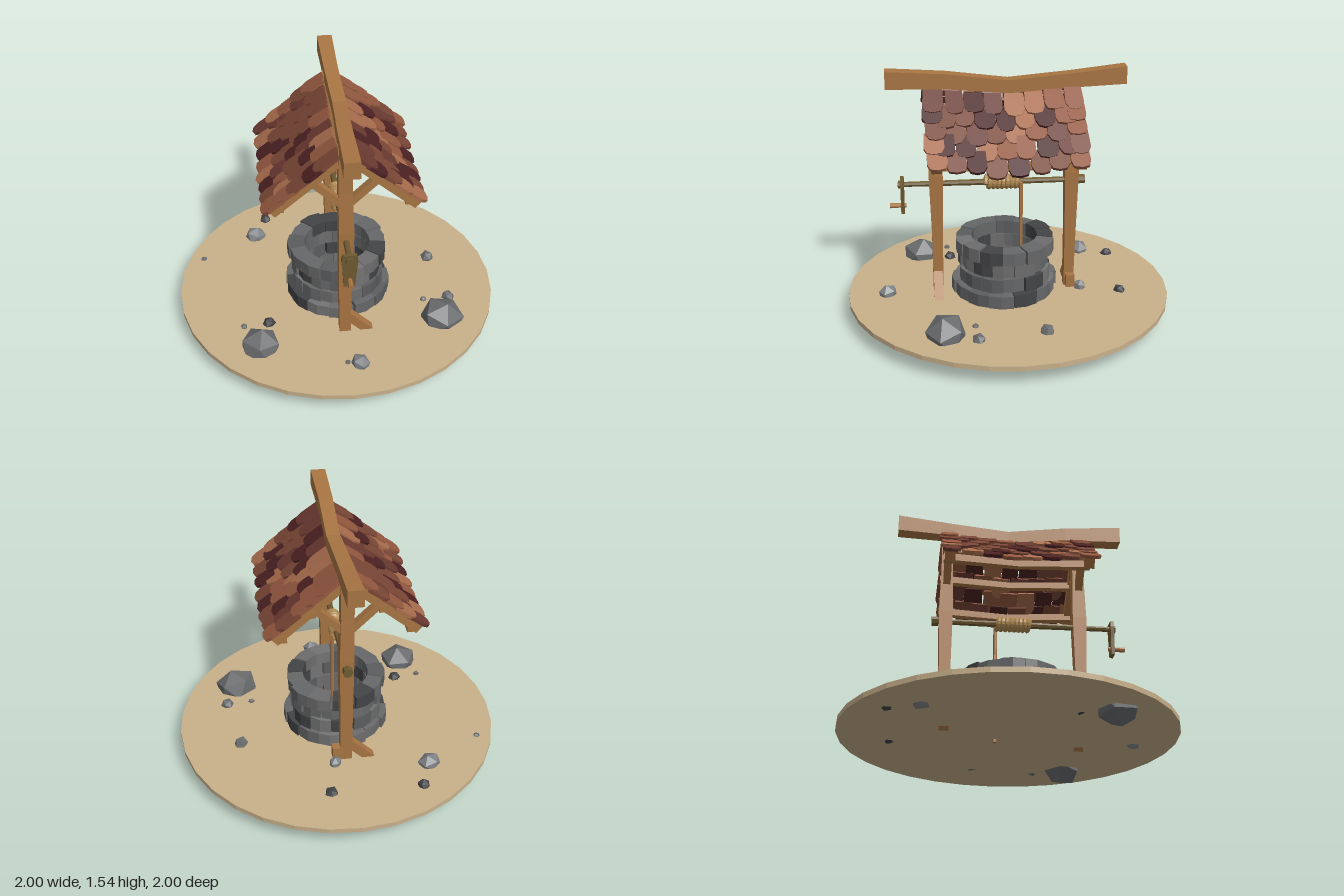
import * as THREE from 'three';

const WOOD = 0xa87543, DARK_WOOD = 0x6e5a30, ROPE = 0xb08a52, SAND = 0xc9b18b;
const TILES = [0x7a4736, 0xa96d4d, 0x7a4736, 0x4c2122, 0x6b3a31, 0x94583f];
const STONES = [0x6c6c6c, 0x5c5d5f, 0x747474, 0x666768, 0x434446];

// small seeded generator
function seeded(seed) {
  let s = seed;
  return () => (s = (s * 16807) % 2147483647) / 2147483647;
}

export function createModel() {
  const model = new THREE.Group();
  model.name = 'wishingWell';
  const rand = seeded(4217);
  const jitter = (a) => (rand() * 2 - 1) * a;
  const pick = (list) => list[Math.floor(rand() * list.length)];
  const materials = {};
  const mat = (color) => (materials[color] ??= new THREE.MeshStandardMaterial({ color, flatShading: true }));

  function add(name, geometry, color, parent = model) {
    const mesh = new THREE.Mesh(geometry, mat(color));
    mesh.name = name;
    parent.add(mesh);
    return mesh;
  }

  // move every vertex of a geometry by a rule
  function reshape(geometry, rule) {
    const p = geometry.attributes.position;
    const v = new THREE.Vector3();
    for (let i = 0; i < p.count; i++) {
      v.fromBufferAttribute(p, i);
      rule(v);
      p.setXYZ(i, v.x, v.y, v.z);
    }
    geometry.computeVertexNormals();
    return geometry;
  }

  // timber through stations [along, centreX, centreOther, widthX, depthOther]
  function timber(name, stations, axis) {
    const n = stations.length - 1;
    const g = new THREE.BoxGeometry(1, 1, 1, 1, n, 1);
    if (axis === 'z') g.rotateX(Math.PI / 2);
    const other = axis === 'z' ? 'y' : 'z';
    reshape(g, (v) => {
      const [t, cx, co, w, d] = stations[Math.round((v[axis] + 0.5) * n)];
      v.x = cx + v.x * w;
      v[other] = co + v[other] * d;
      v[axis] = t;
    });
    return add(name, g, WOOD);
  }

  // straight timber in the x-y plane at depth z
  function strut(name, x0, y0, x1, y1, z, width, depth) {
    const dx = x1 - x0, dy = y1 - y0;
    const mesh = add(name, new THREE.BoxGeometry(Math.hypot(dx, dy), width, depth), WOOD);
    mesh.position.set((x0 + x1) / 2, (y0 + y1) / 2, z);
    mesh.rotation.z = Math.atan2(dy, dx);
  }

  // cylinder lying along z
  function rod(name, r0, r1, z0, z1, x, y, color, sides = 8) {
    const g = new THREE.CylinderGeometry(r1, r0, z1 - z0, sides).rotateX(Math.PI / 2);
    add(name, g, color).position.set(x, y, (z0 + z1) / 2);
  }

  // ground disc
  add('ground', new THREE.CylinderGeometry(1, 1, 0.03, 32), SAND).position.y = 0.125;

  // stone wall: four staggered courses of wedge blocks
  const wall = new THREE.Group();
  wall.name = 'stoneWall';
  wall.position.set(0.003, 0, 0.025);
  model.add(wall);
  const courses = [[0.12, 0.225, 0.325], [0.225, 0.318, 0.29], [0.322, 0.412, 0.285], [0.412, 0.497, 0.31]];
  courses.forEach(([y0, y1, outer], row) => {
    const count = 13, step = (Math.PI * 2) / count;
    for (let i = 0; i < count; i++) {
      const a = (i + (row % 2) * 0.5) * step + jitter(0.03);
      const r = outer + jitter(0.012), top = y1 + jitter(0.006), half = step * 0.49;
      const block = reshape(new THREE.BoxGeometry(1, 1, 1, 2, 1, 1), (v) => {
        const angle = a + v.x * 2 * half;
        const radius = v.z > 0 ? r - (Math.abs(v.x) > 0.1 ? 0.006 : 0) : 0.205;
        const y = v.y > 0 ? top - (v.z > 0 ? 0.004 : 0) : y0;
        v.set(Math.sin(angle) * radius, y, Math.cos(angle) * radius);
      });
      add('wallStone', block, pick(STONES), wall);
    }
  });

  // posts and sagging ridge beam
  timber('frontPost', [[0.12, 0.004, 0.44, 0.068, 0.06], [0.5, 0.002, 0.438, 0.075, 0.066],
    [0.9, 0.006, 0.44, 0.09, 0.085], [1.18, 0, 0.438, 0.078, 0.07], [1.47, 0, 0.438, 0.085, 0.075]], 'y');
  timber('backPost', [[0.12, 0.002, -0.38, 0.07, 0.06], [0.5, 0.002, -0.384, 0.075, 0.068],
    [0.9, 0.004, -0.386, 0.085, 0.085], [1.18, 0, -0.385, 0.075, 0.07], [1.47, 0, -0.385, 0.085, 0.075]], 'y');
  timber('ridgeBeam', [[-0.7, 0.005, 1.503, 0.092, 0.105], [-0.37, 0.008, 1.478, 0.085, 0.085],
    [0, 0.018, 1.452, 0.08, 0.078], [0.37, 0.006, 1.488, 0.085, 0.09], [0.72, 0.004, 1.502, 0.092, 0.105]], 'z');

  // rafters, knee braces and purlins
  for (const s of [-1, 1]) {
    for (const z of [0.44, -0.385]) {
      strut('rafter', s * 0.02, 1.41, s * 0.415, 1.07, z, 0.06, 0.06);
      strut('kneeBrace', s * 0.01, 1.085, s * 0.19, 1.26, z, 0.042, 0.045);
    }
    for (const [x, y] of [[0.365, 1.085], [0.2, 1.235]]) {
      timber('purlin', [[-0.42, s * x, y, 0.045, 0.045], [0.02, s * x, y - 0.022, 0.04, 0.04],
        [0.45, s * x, y, 0.045, 0.045]], 'z');
    }
  }

  // foot braces at the post bases
  strut('footBrace', 0.01, 0.265, 0.165, 0.11, 0.44, 0.055, 0.055);
  strut('footBrace', -0.01, 0.265, -0.165, 0.11, -0.385, 0.055, 0.055);
  strut('footBlock', 0.02, 0.19, 0.085, 0.19, -0.385, 0.08, 0.055);

  // shingles: five overlapping rows on each slope
  const slope = 0.72, lift = 0.09;
  for (const s of [1, -1]) {
    const side = new THREE.Group();
    side.name = s > 0 ? 'leftRoofSlope' : 'rightRoofSlope';
    side.position.z = 0.035;
    side.rotation.y = s > 0 ? 0 : Math.PI;
    model.add(side);
    for (let row = 0; row < 5; row++) {
      const count = row % 2 ? 9 : 8;
      for (let i = 0; i < count; i++) {
        const w = 0.116 + jitter(0.01), len = 0.155 + jitter(0.014);
        const h = w / 2, c = 0.3 + rand() * 0.1;
        const shape = new THREE.Shape([[-h * 0.92, 0], [-h, -len * 0.7], [-w * c, -len * 0.94], [0, -len],
          [w * c, -len * 0.94], [h, -len * 0.7], [h * 0.92, 0]].reverse().map(([x, y]) => new THREE.Vector2(x, y)));
        const g = new THREE.ExtrudeGeometry(shape, { depth: 0.02, bevelEnabled: false });
        const z = THREE.MathUtils.clamp((i - (count - 1) / 2) * 0.117 + jitter(0.006), -0.417, 0.417);
        const sag = 0.048 * (1 - Math.abs(z) / 0.47);
        const t = row * 0.1, a = slope - lift + jitter(0.03);
        const down = new THREE.Vector3(Math.cos(a), -Math.sin(a), 0);
        const out = new THREE.Vector3(Math.sin(a), Math.cos(a), 0);
        const m = new THREE.Matrix4().makeBasis(new THREE.Vector3(0, 0, -1), down.negate(), out);
        m.setPosition(0.035 + t * Math.cos(slope), 1.435 - t * Math.sin(slope) - sag + jitter(0.004), z);
        add('shingle', g.rotateZ(jitter(0.06)).applyMatrix4(m), pick(TILES), side);
      }
    }
  }

  // windlass axle, end caps, crank plate and handle
  const axleY = 0.845;
  rod('axle', 0.017, 0.021, -0.45, 0.05, 0.004, axleY, DARK_WOOD);
  rod('axle', 0.021, 0.016, 0.05, 0.67, 0.004, axleY, DARK_WOOD);
  rod('axleCap', 0.03, 0.03, -0.47, -0.43, 0.004, axleY, DARK_WOOD);
  rod('axleNub', 0.026, 0.026, 0.652, 0.668, 0.004, axleY, DARK_WOOD);
  const plate = new THREE.Shape([[-0.03, 0.665], [0.036, 0.665], [0.044, 0.77], [0.052, 0.845], [0.046, 0.885],
    [-0.036, 0.885], [-0.044, 0.845], [-0.036, 0.77]].map(([x, y]) => new THREE.Vector2(x, y)));
  add('crankPlate', new THREE.ExtrudeGeometry(plate, { depth: 0.022, bevelEnabled: false }), DARK_WOOD)
    .position.z = 0.632;
  rod('crankHandle', 0.014, 0.017, 0.622, 0.722, 0.004, 0.71, WOOD);

  // rope coil and hanging rope
  const turns = 8, path = [];
  for (let i = 0; i <= turns * 10; i++) {
    const a = (i / 10) * Math.PI * 2;
    path.push(new THREE.Vector3(0.004 + Math.cos(a) * 0.034, axleY + Math.sin(a) * 0.034,
      0.14 - (0.215 * i) / (turns * 10)));
  }
  add('ropeCoil', new THREE.TubeGeometry(new THREE.CatmullRomCurve3(path), 128, 0.0145, 6), ROPE);
  add('hangingRope', new THREE.CylinderGeometry(0.012, 0.012, 0.755, 6), WOOD).position.set(0.036, 0.468, -0.076);

  // scattered rocks: x, y, z, radius, colour
  const MID = 0x6a6c6e, DARK = 0x404245, PALE = 0x808386;
  const rocks = [
    [-0.52, 0.135, 0.54, 0.13, MID], [0.615, 0.145, 0.415, 0.13, MID], [-0.495, 0.145, -0.525, 0.068, PALE],
    [-0.42, 0.135, -0.708, 0.044, DARK], [0.135, 0.135, -0.69, 0.044, DARK], [-0.85, 0.135, -0.32, 0.022, MID],
    [0.63, 0.145, -0.17, 0.046, MID], [0.69, 0.14, 0.23, 0.044, MID], [0.53, 0.14, 0.24, 0.022, MID],
    [-0.455, 0.14, 0.35, 0.042, DARK], [-0.61, 0.14, 0.365, 0.021, MID], [0.06, 0.145, 0.755, 0.062, PALE],
    [-0.012, 0.14, 0.737, 0.018, MID], [0.075, 0.15, -0.445, 0.042, PALE],
  ];
  for (const [x, y, z, r, color] of rocks) {
    const rock = add('rock', new THREE.IcosahedronGeometry(r, 0), color);
    rock.position.set(x, y, z);
    rock.rotation.set(rand() * 3, rand() * 6, rand() * 3);
    rock.scale.set(1, 0.95 + jitter(0.08), 1.03 + jitter(0.08));
  }
  return model;
}
